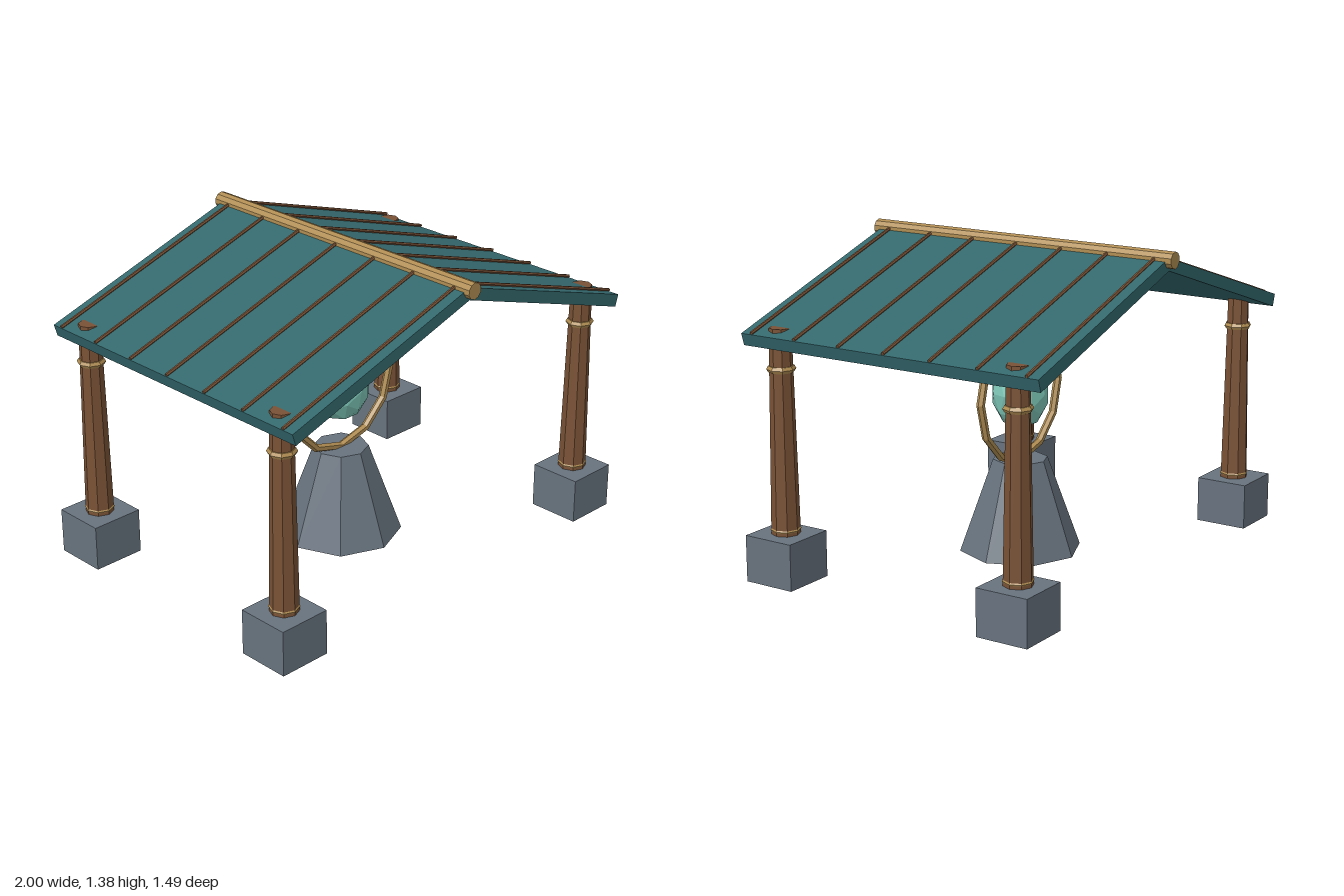
import * as THREE from 'three';

const mat = (name, color) => {
  const m = new THREE.MeshStandardMaterial({ color });
  m.name = name;
  return m;
};

export function createModel() {
  const stone = mat('slate stone', 0x68737e);
  const wood = mat('brown wood', 0x7a5236);
  const gold = mat('aged gold', 0xb08d52);
  const teal = mat('teal roofing', 0x34696e);
  const jade = mat('pale jade', 0x7fc9ba);

  const model = new THREE.Group();
  model.name = 'pavilion';

  // Faceted mesh: split the faces so each keeps its own flat normal
  const add = (parent, name, geometry, material, x = 0, y = 0, z = 0) => {
    const flat = geometry.index ? geometry.toNonIndexed() : geometry;
    flat.computeVertexNormals();
    const mesh = new THREE.Mesh(flat, material);
    mesh.name = name;
    mesh.position.set(x, y, z);
    parent.add(mesh);
    return mesh;
  };

  // Four posts on stone blocks, each with a foot ring and an upper collar
  const blockGeo = new THREE.BoxGeometry(0.235, 0.2, 0.235);
  const shaftGeo = new THREE.CylinderGeometry(0.046, 0.061, 0.87, 8);
  const collarGeo = new THREE.TorusGeometry(0.046, 0.015, 6, 8).rotateX(Math.PI / 2);
  const footGeo = new THREE.TorusGeometry(0.049, 0.015, 6, 8).rotateX(Math.PI / 2);
  for (const sx of [-1, 1]) {
    for (const sz of [-1, 1]) {
      const post = new THREE.Group();
      post.name = `${sz > 0 ? 'front' : 'back'}${sx > 0 ? 'Left' : 'Right'}Post`;
      post.position.set(sx * 0.883, 0, sz * 0.577);
      add(post, 'block', blockGeo, stone, 0, 0.1);
      add(post, 'shaft', shaftGeo, wood, 0, 0.635);
      add(post, 'footRing', footGeo, gold, 0, 0.219);
      add(post, 'collar', collarGeo, gold, 0, 0.9);
      model.add(post);
    }
  }

  // Gabled roof: a chevron section extruded front to back
  const eaveX = 0.96, eaveY = 1.043, ridgeY = 1.35, depth = 1.435;
  const section = new THREE.Shape([
    [-eaveX, eaveY], [-0.944, 0.991], [0, 1.297],
    [0.944, 0.991], [eaveX, eaveY], [0, ridgeY],
  ].map(([x, y]) => new THREE.Vector2(x, y)));
  const roofGeo = new THREE.ExtrudeGeometry(section, { depth, bevelEnabled: false });
  add(model, 'roof', roofGeo, teal, 0, 0, -depth / 2);

  // Ridge pole
  const ridgeGeo = new THREE.CylinderGeometry(0.036, 0.036, 1.49, 10).rotateX(Math.PI / 2);
  add(model, 'ridgePole', ridgeGeo, gold, 0, 1.343);

  // Seven thin battens down each slope
  const slope = Math.atan2(ridgeY - eaveY, eaveX);
  const battenGeo = new THREE.CylinderGeometry(0.0075, 0.0075, Math.hypot(eaveX, ridgeY - eaveY), 6)
    .rotateZ(Math.PI / 2);
  for (const side of [-1, 1]) {
    for (let i = -3; i <= 3; i++) {
      const batten = add(model, 'batten', battenGeo, wood,
        side * eaveX / 2, (eaveY + ridgeY) / 2 + 0.006, i * 0.2215);
      batten.rotation.z = -side * slope;
    }
  }

  // Central pedestal, hoop and floating faceted stone
  add(model, 'pedestal', new THREE.CylinderGeometry(0.12, 0.266, 0.405, 8), stone, 0, 0.2025);
  add(model, 'hoop', new THREE.TorusGeometry(0.298, 0.018, 6, 12), gold, 0, 0.7);
  add(model, 'jadeStone', new THREE.IcosahedronGeometry(0.125, 1).scale(1, 1.35, 1), jade, 0, 0.7);

  return model;
}
